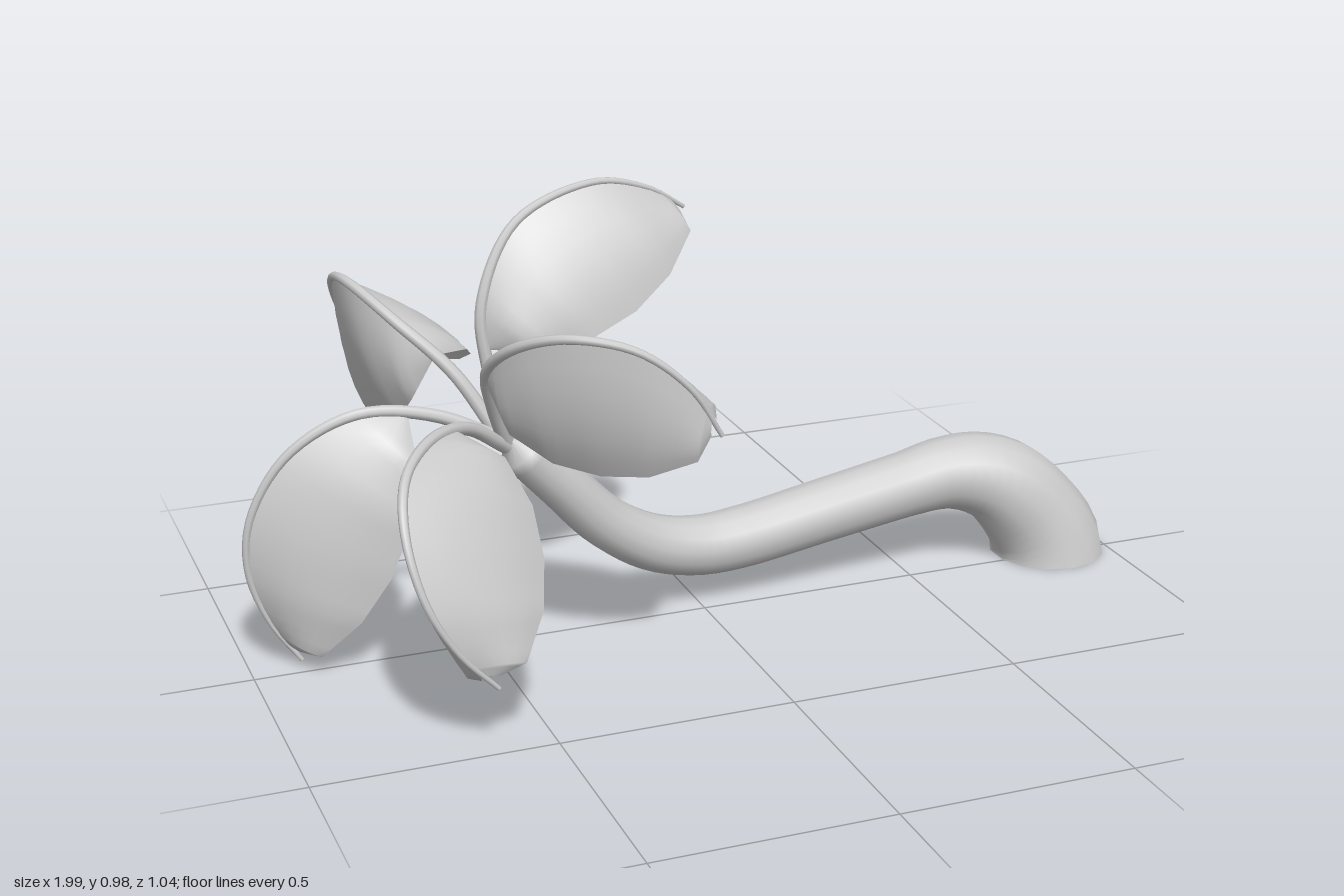
import * as THREE from 'three';

const material = new THREE.MeshStandardMaterial({ color: 0xcccccc, side: THREE.DoubleSide });
const V = (p) => new THREE.Vector3(p[0], p[1], p[2]);

// Tube along a curve whose radius follows radiusAt(u)
function taperedTube(curve, segments, sides, radiusAt) {
  const geo = new THREE.TubeGeometry(curve, segments, 1, sides);
  const pos = geo.attributes.position;
  const p = new THREE.Vector3();
  for (let i = 0; i <= segments; i++) {
    const centre = curve.getPointAt(i / segments);
    const r = radiusAt(i / segments);
    for (let j = 0; j <= sides; j++) {
      const k = i * (sides + 1) + j;
      p.fromBufferAttribute(pos, k).sub(centre).multiplyScalar(r).add(centre);
      pos.setXYZ(k, p.x, p.y, p.z);
    }
  }
  geo.computeVertexNormals();
  // share the normals across the seam
  const nor = geo.attributes.normal;
  const a = new THREE.Vector3(), b = new THREE.Vector3();
  for (let i = 0; i <= segments; i++) {
    const k = i * (sides + 1), l = k + sides;
    a.fromBufferAttribute(nor, k).add(b.fromBufferAttribute(nor, l)).normalize();
    nor.setXYZ(k, a.x, a.y, a.z);
    nor.setXYZ(l, a.x, a.y, a.z);
  }
  return geo;
}

// Trunk centre line: x, y, z, radius
const TRUNK = [
  [0.865, 0, -0.035, 0.135], [0.857, 0.035, -0.035, 0.127], [0.82, 0.1, -0.037, 0.115],
  [0.755, 0.17, -0.042, 0.106], [0.685, 0.205, -0.05, 0.095], [0.605, 0.215, -0.055, 0.083],
  [0.5, 0.2, -0.054, 0.075], [0.3, 0.168, -0.05, 0.072], [0.1, 0.136, -0.047, 0.07],
  [0, 0.133, -0.044, 0.067], [-0.11, 0.16, -0.035, 0.063], [-0.22, 0.23, -0.018, 0.058],
  [-0.33, 0.345, 0.003, 0.054], [-0.44, 0.46, 0.022, 0.05],
];

function makeTrunk() {
  const curve = new THREE.CatmullRomCurve3(TRUNK.map(V));
  const geo = taperedTube(curve, 56, 14, (u) => {
    if (u === 1) return 0; // closes the crown end
    const s = curve.getUtoTmapping(u) * (TRUNK.length - 1);
    const i = Math.min(Math.floor(s), TRUNK.length - 2);
    return THREE.MathUtils.lerp(TRUNK[i][3], TRUNK[i + 1][3], s - i);
  });
  // level the foot on the ground
  const pos = geo.attributes.position;
  for (let k = 0; k < pos.count; k++) {
    if (k < 15) pos.setY(k, 0);
    else if (pos.getY(k) < 0) pos.setY(k, 0);
  }
  const trunk = new THREE.Mesh(geo, material);
  trunk.name = 'trunk';
  return trunk;
}

// Frond midribs, from the crown to the hanging tip
const RIBS = [
  [[-0.45, 0.47, 0.02], [-0.485, 0.62, 0.026], [-0.495, 0.76, 0.02], [-0.41, 0.915, -0.015],
    [-0.23, 0.975, -0.05], [-0.1, 0.945, -0.075], [-0.01, 0.89, -0.1]],
  [[-0.46, 0.47, 0.05], [-0.5, 0.57, 0.1], [-0.53, 0.67, 0.17], [-0.5, 0.75, 0.28],
    [-0.42, 0.785, 0.37], [-0.3, 0.76, 0.42], [-0.2, 0.68, 0.438], [-0.13, 0.57, 0.43]],
  [[-0.46, 0.46, 0.05], [-0.57, 0.545, 0.14], [-0.68, 0.57, 0.26], [-0.76, 0.54, 0.38],
    [-0.782, 0.46, 0.46], [-0.76, 0.34, 0.51], [-0.7, 0.23, 0.515], [-0.62, 0.14, 0.5]],
  [[-0.45, 0.46, 0.02], [-0.6, 0.53, 0], [-0.76, 0.545, -0.015], [-0.9, 0.47, -0.03],
    [-0.98, 0.34, -0.04], [-0.99, 0.22, -0.045], [-0.95, 0.1, -0.045], [-0.89, 0.01, -0.04]],
  [[-0.46, 0.47, -0.01], [-0.54, 0.6, -0.05], [-0.64, 0.7, -0.12], [-0.71, 0.76, -0.24],
    [-0.715, 0.735, -0.36], [-0.69, 0.66, -0.44], [-0.64, 0.55, -0.49], [-0.6, 0.455, -0.515]],
];

// Blade edge: position along the chord, drop below it, sideways spread
const EDGE = [
  [0, 0, 0], [0.14, 0.05, 0.08], [0.34, 0.085, 0.108], [0.55, 0.1, 0.11],
  [0.76, 0.09, 0.1], [0.96, 0.06, 0.065], [1, 0.03, 0.02],
];

// One half of a folded blade, arching from the midrib down to its angular edge
function makeBladeHalf(rib, side) {
  const from = 0.22, to = 0.95, steps = 4, across = 6;
  const start = rib.getPointAt(from), end = rib.getPointAt(to);
  const chord = end.clone().sub(start);
  const along = chord.clone().normalize();
  const down = start.clone().add(end).multiplyScalar(0.5).sub(rib.getPointAt((from + to) / 2));
  down.addScaledVector(along, -down.dot(along)).normalize();
  const out = new THREE.Vector3().crossVectors(along, down).multiplyScalar(side);

  const rows = (EDGE.length - 1) * steps;
  const verts = [], index = [];
  for (let i = 0; i <= rows; i++) {
    const e = Math.min(Math.floor(i / steps), EDGE.length - 2);
    const f = i / steps - e;
    const [u, d, s] = EDGE[e].map((a, k) => THREE.MathUtils.lerp(a, EDGE[e + 1][k], f));
    const top = rib.getPointAt(from + (to - from) * Math.min(1, u));
    const low = start.clone().addScaledVector(chord, u).addScaledVector(down, d);
    for (let j = 0; j <= across; j++) {
      const v = j / across;
      const spread = s * (v + 0.9 * v * (1 - v));
      const p = top.clone().lerp(low, v).addScaledVector(out, spread);
      verts.push(p.x, p.y, p.z);
      if (i < rows && j < across) {
        const a = i * (across + 1) + j, b = a + across + 1;
        if (side < 0) index.push(a, a + 1, b, b, a + 1, b + 1);
        else index.push(a, b, a + 1, b, b + 1, a + 1);
      }
    }
  }
  const geo = new THREE.BufferGeometry();
  geo.setAttribute('position', new THREE.Float32BufferAttribute(verts, 3));
  geo.setIndex(index);
  geo.computeVertexNormals();
  const mesh = new THREE.Mesh(geo, material);
  mesh.name = side > 0 ? 'bladeLeft' : 'bladeRight';
  return mesh;
}

function makeFrond(points) {
  const frond = new THREE.Group();
  frond.name = 'frond';
  const rib = new THREE.CatmullRomCurve3(points.map(V));
  const stem = new THREE.Mesh(taperedTube(rib, 40, 8, (u) => 0.016 - 0.011 * u), material);
  stem.name = 'midrib';
  frond.add(stem, makeBladeHalf(rib, 1), makeBladeHalf(rib, -1));
  return frond;
}

export function createModel() {
  const tree = new THREE.Group();
  tree.name = 'palmTree';
  tree.add(makeTrunk());
  for (const points of RIBS) tree.add(makeFrond(points));
  return tree;
}
